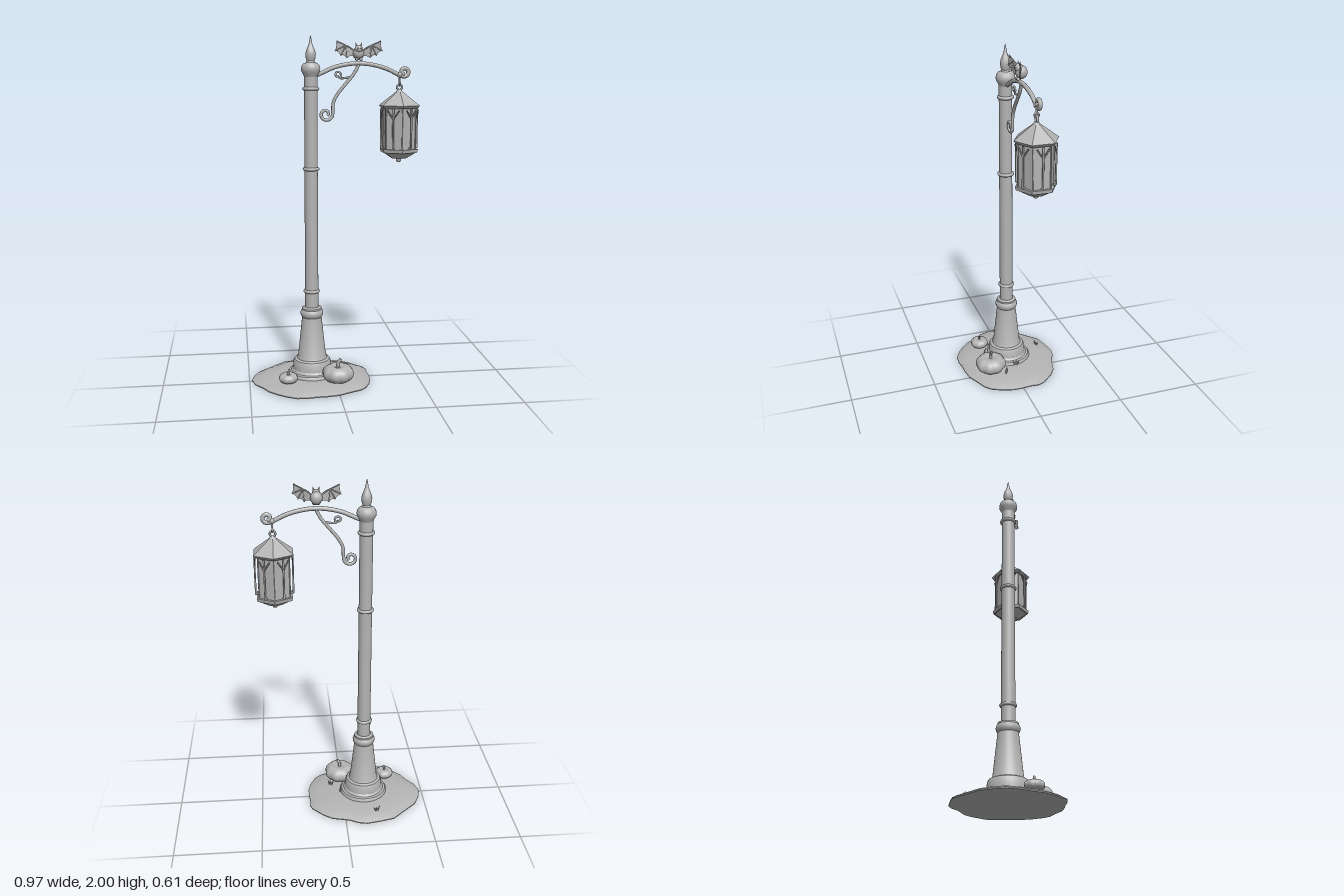
import * as THREE from 'three';
import { toCreasedNormals } from 'three/addons/utils/BufferGeometryUtils.js';

const grey = new THREE.MeshStandardMaterial({ color: 0xb4b4b4, side: THREE.DoubleSide });
grey.name = 'plain grey';
const V = (x, y, z = 0) => new THREE.Vector3(x, y, z);
const PX = -0.13; // post axis
const LX = 0.375; // lantern axis

function add(parent, name, geo, x = 0, y = 0, z = 0) {
  const m = new THREE.Mesh(geo, grey);
  m.name = name;
  m.position.set(x, y, z);
  parent.add(m);
  return m;
}
function group(parent, name, x = 0, y = 0, z = 0) {
  const g = new THREE.Group();
  g.name = name;
  g.position.set(x, y, z);
  parent.add(g);
  return g;
}
function lathe(pts, segs = 32) {
  return toCreasedNormals(new THREE.LatheGeometry(pts.map(p => new THREE.Vector2(p[0], p[1])), segs), 0.6);
}
function tube(pts, r, n = 40, sides = 10) {
  return new THREE.TubeGeometry(new THREE.CatmullRomCurve3(pts), n, r, sides);
}
function rod(parent, name, a, b, r) {
  return add(parent, name, new THREE.TubeGeometry(new THREE.LineCurve3(a, b), 1, r, 6));
}
const hex = (top, bottom, h) => toCreasedNormals(new THREE.CylinderGeometry(top, bottom, h, 6), 0.4);

// Points of a spiral that shrinks from r0 to r1
function spiral(cx, cy, r0, r1, a0, a1, n = 12) {
  return Array.from({ length: n + 1 }, (_, i) => {
    const t = i / n, a = a0 + (a1 - a0) * t, r = r0 + (r1 - r0) * t;
    return V(cx + r * Math.cos(a), cy + r * Math.sin(a));
  });
}

// Irregular low mound with a flat underside
function moundGeometry() {
  const outline = [[-.487, 0], [-.47, -.07], [-.437, -.135], [-.36, -.205], [-.29, -.27], [-.21, -.29], [-.125, -.305],
    [-.075, -.295], [-.025, -.267], [.08, -.24], [.13, -.205], [.195, -.135], [.21, -.095], [.205, -.05], [.21, 0],
    [.21, .06], [.195, .12], [.165, .185], [.13, .22], [.06, .25], [0, .28], [-.07, .29], [-.13, .292], [-.18, .3],
    [-.24, .297], [-.3, .265], [-.345, .23], [-.395, .18], [-.42, .13], [-.465, .07]];
  const n = outline.length, rings = [[0, 0], [1, 0], [1, .006], [.93, .018], [.8, .029], [.6, .038], [.35, .043], [0, .045]];
  const pos = [], idx = [];
  for (const [s, y] of rings) for (const [x, z] of outline) pos.push(PX + (x - PX) * s, y, z * s);
  for (let i = 0; i < rings.length - 1; i++) for (let j = 0; j < n; j++) {
    const a = i * n + j, b = i * n + (j + 1) % n;
    idx.push(a, a + n, b, b, a + n, b + n);
  }
  const g = new THREE.BufferGeometry();
  g.setAttribute('position', new THREE.Float32BufferAttribute(pos, 3));
  g.setIndex(idx.reverse());
  return toCreasedNormals(g, 0.7);
}

// Squashed sphere with lobes and dimpled poles
function pumpkin(parent, name, x, y, z, r, h) {
  const g = group(parent, name, x, y, z);
  const geo = new THREE.SphereGeometry(1, 48, 24), p = geo.attributes.position;
  for (let i = 0; i < p.count; i++) {
    const a = Math.atan2(p.getZ(i), p.getX(i)), c = Math.hypot(p.getX(i), p.getZ(i));
    const lobe = 0.93 + 0.07 * Math.abs(Math.sin(4 * a));
    const s = Math.pow(c, 0.75) * lobe * r;
    p.setXYZ(i, Math.cos(a) * s, p.getY(i) * h * (1 - 0.3 * Math.exp(-c * c * 12)), Math.sin(a) * s);
  }
  geo.computeVertexNormals();
  add(g, 'pumpkinBody', geo);
  add(g, 'pumpkinStem', tube([V(0, h * .6), V(0, h * 1.1), V(r * .06, h * 1.35), V(r * .16, h * 1.6)], r * .1, 8, 8));
}

// Two or three pointed blades
function tuft(parent, x, y, z, turn) {
  const g = group(parent, 'grassTuft', x, y, z);
  g.rotation.y = turn;
  for (const lean of [-0.4, 0.05, 0.4]) {
    const blade = add(g, 'grassBlade', new THREE.ConeGeometry(.005, lean === .05 ? .025 : .04, 4), lean * .035, .016, 0);
    blade.rotation.z = -lean;
  }
}

function buildPost(root) {
  const post = group(root, 'post', PX, 0, 0);
  add(post, 'postBase', lathe([[0, .02], [.143, .02], [.143, .045], [.135, .058], [.122, .062], [.112, .075], [.11, .115],
    [.103, .13], [.088, .137], [.082, .15], [.057, .385], [.064, .395], [.067, .41], [.062, .425], [.057, .43], [.057, .44], [.04, .446]]));
  add(post, 'postShaft', new THREE.CylinderGeometry(.037, .039, 1.36, 24), 0, 1.12, 0);
  for (const y of [.54, 1.255, 1.705]) {
    const ring = add(post, 'postRing', new THREE.TorusGeometry(.038, .01, 10, 32), 0, y, 0);
    ring.rotation.x = Math.PI / 2;
  }
  add(post, 'finial', lathe([[.037, 1.77], [.043, 1.785], [.052, 1.8], [.054, 1.815], [.05, 1.832], [.04, 1.845], [.026, 1.85],
    [.022, 1.858], [.027, 1.875], [.029, 1.895], [.025, 1.915], [.016, 1.935], [.009, 1.955], [.005, 1.98], [0, 2]]));
}

function buildBracket(root) {
  const arm = group(root, 'bracket');
  add(arm, 'arm', tube([V(-.12, 1.772), V(-.08, 1.787), V(0, 1.822), V(.07, 1.839), V(.14, 1.845), V(.22, 1.837),
    V(.3, 1.815), V(.37, 1.782), ...spiral(.402, 1.798, .026, .014, -1.7, 4.6)], .012, 90));
  add(arm, 'armCollar', new THREE.SphereGeometry(.016, 16, 10), LX, 1.782, 0);
  add(arm, 'brace', tube([V(.14, 1.838), V(.115, 1.79), V(.07, 1.735), V(.025, 1.68), V(-.002, 1.63),
    ...spiral(-.045, 1.563, .04, .012, .25, -7)], .0095, 90));
  add(arm, 'smallScroll', tube([V(.1, 1.772), V(.07, 1.765), V(.04, 1.763), ...spiral(.022, 1.782, .02, .009, -1, -1 + 6.5)], .006, 50, 8));
}

function buildLantern(root) {
  const lamp = group(root, 'lantern', LX, 0, 0);
  rod(lamp, 'hangerRod', V(0, 1.78), V(0, 1.735), .006);
  add(lamp, 'hangerLink', new THREE.TorusGeometry(.012, .005, 8, 20), 0, 1.733, 0).rotation.y = Math.PI / 2;
  add(lamp, 'hangerRing', new THREE.TorusGeometry(.015, .006, 8, 20), 0, 1.712, 0);
  add(lamp, 'roofKnob', new THREE.CylinderGeometry(.012, .02, .014, 16), 0, 1.692, 0);
  add(lamp, 'roof', hex(.016, .123, .08), 0, 1.65, 0);
  add(lamp, 'eave', hex(.123, .108, .016), 0, 1.602, 0);
  add(lamp, 'glassBody', hex(.098, .098, .25), 0, 1.475, 0);
  add(lamp, 'lowerRim', hex(.114, .11, .02), 0, 1.355, 0);
  add(lamp, 'lowerBowl', hex(.104, .045, .036), 0, 1.328, 0);
  add(lamp, 'bottomNeck', new THREE.CylinderGeometry(.007, .01, .015, 12), 0, 1.309, 0);
  add(lamp, 'bottomBall', new THREE.SphereGeometry(.015, 20, 14), 0, 1.301, 0);
  // Forked bars in front of every pane, and a slim mullion at every corner
  for (let i = 0; i < 6; i++) {
    const side = group(lamp, 'lanternSide');
    side.rotation.y = i * Math.PI / 3;
    rod(side, 'paneBar', V(.104, 1.37), V(.104, 1.595), .0055);
    rod(side, 'barFoot', V(.09, 1.372), V(.106, 1.372), .006);
    for (const s of [-1, 1]) rod(side, 'barFork', V(.104, 1.535), V(.102, 1.585, s * .034), .004);
    rod(side, 'cornerMullion', V(.085, 1.36, .049), V(.085, 1.6, .049), .004);
  }
}

function buildBat(root) {
  const bat = group(root, 'bat', .138, 1.9, 0);
  add(bat, 'batBody', new THREE.SphereGeometry(.034, 24, 18)).scale.set(.95, 1.05, .95);
  add(bat, 'batHead', new THREE.SphereGeometry(.023, 20, 14), 0, .022, .014);
  for (const s of [-1, 1]) {
    const ear = add(bat, 'batEar', new THREE.ConeGeometry(.009, .028, 8), s * .014, .046, .012);
    ear.rotation.z = -s * .25;
    add(bat, 'batEye', new THREE.SphereGeometry(.005, 10, 8), s * .009, .026, .034);
    add(bat, 'batFoot', new THREE.SphereGeometry(.009, 10, 8), s * .012, -.034, .022);

    // Scalloped wing with finger bones
    const shape = new THREE.Shape();
    shape.moveTo(.018, .01);
    shape.quadraticCurveTo(.05, .043, .075, .044);
    shape.lineTo(.128, .066);
    shape.quadraticCurveTo(.126, .035, .138, .012);
    shape.quadraticCurveTo(.118, .014, .104, -.014);
    shape.quadraticCurveTo(.088, -.002, .068, -.026);
    shape.quadraticCurveTo(.05, -.008, .02, -.02);
    const wing = group(bat, 'batWing');
    wing.rotation.y = s > 0 ? -.4 : Math.PI + .2;
    add(wing, 'wingSkin', new THREE.ExtrudeGeometry(shape, { depth: .003, bevelEnabled: false }), 0, 0, -.0015);
    const wrist = V(.075, .044);
    for (const tip of [V(.02, .012), V(.128, .066), V(.138, .012), V(.104, -.014), V(.068, -.026)])
      rod(wing, 'wingBone', wrist, tip, .003);
  }
}

export function createModel() {
  const root = new THREE.Group();
  root.name = 'streetLamp';
  add(root, 'groundMound', moundGeometry());
  buildPost(root);
  buildBracket(root);
  buildLantern(root);
  buildBat(root);
  pumpkin(root, 'largePumpkin', .007, .084, .145, .092, .052);
  pumpkin(root, 'smallPumpkin', -.28, .064, .135, .055, .03);
  tuft(root, -.19, .03, -.22, .4);
  tuft(root, .07, .04, .065, -.5);
  tuft(root, .014, .045, -.015, 1.4);
  tuft(root, -.245, .04, .075, .9);
  return root;
}
